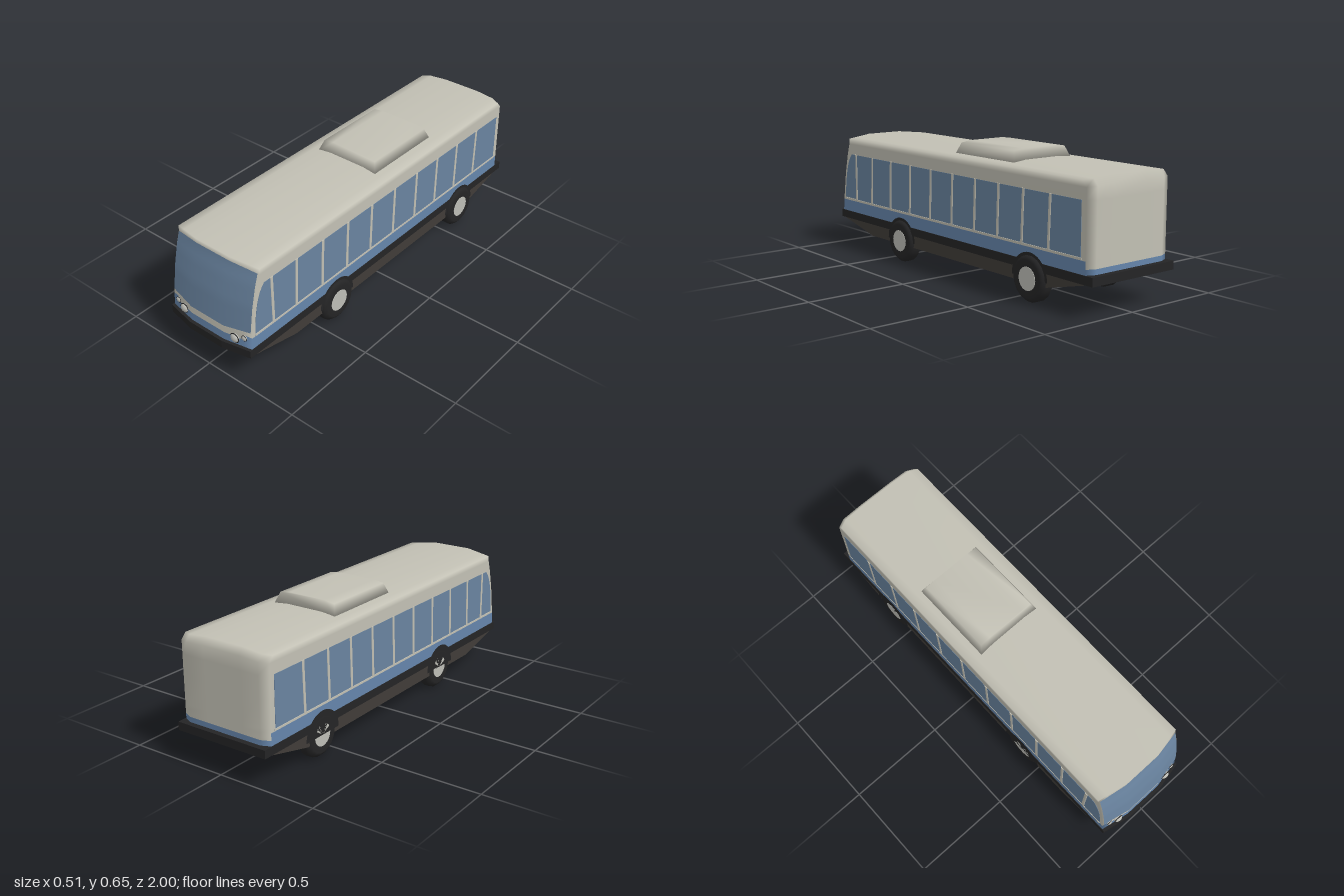
import * as THREE from 'three';
import { mergeVertices } from 'three/addons/utils/BufferGeometryUtils.js';

const mat = (name, color, side = THREE.FrontSide) => {
  const m = new THREE.MeshStandardMaterial({ color, side });
  m.name = name;
  return m;
};

const HALF = 0.244;          // half width of the body
const SWEEP = 0.028;         // how far the front corners sit behind the nose
const NOSE = [[0.18, 0.985], [0.27, 0.975], [0.4, 0.955], [0.505, 0.93], [0.575, 0.907], [0.602, 0.913]];

// Height to z of the nose, by straight pieces
function noseZ(y) {
  for (let i = 1; i < NOSE.length; i++) {
    const [y0, z0] = NOSE[i - 1], [y1, z1] = NOSE[i];
    if (y <= y1 || i === NOSE.length - 1) return z0 + (z1 - z0) * (y - y0) / (y1 - y0);
  }
}
const edge = (x) => Math.max(0, (Math.abs(x) - 0.1) / (HALF - 0.1)); // 0 in the middle, 1 at the side
const frontZ = (x, y) => noseZ(y) - SWEEP * edge(x);

function smooth(geo) {
  geo.deleteAttribute('normal');
  geo.deleteAttribute('uv');
  geo.clearGroups();
  const g = mergeVertices(geo, 1e-4);
  g.computeVertexNormals();
  return g;
}

// Shape drawn in (z, y), extruded across x and centred on x = 0
function sideExtrude(shape, depth) {
  const g = new THREE.ExtrudeGeometry(shape, { depth, bevelEnabled: false, curveSegments: 8 });
  return g.translate(0, 0, -depth / 2).rotateY(-Math.PI / 2);
}
const polygon = (pts) => new THREE.Shape(pts.map((p) => new THREE.Vector2(...p)));

// Body shell: plan outlines stacked by height, closed by a crowned roof
function bodyGeometry() {
  const cols = [-HALF, -0.2, -0.1, 0.1, 0.2, HALF], n = cols.length;
  const levels = [0.18, 0.215, 0.227, 0.25, 0.27, 0.4, 0.505, 0.56, 0.588];
  const pos = [], cream = [], blue = [];
  for (const y of levels) {
    const crown = 0.014 * Math.max(0, (y - 0.505) / 0.083);
    const back = y > 0.57 ? -0.948 : -0.973;
    const height = (x) => y + crown * (1 - edge(x));
    for (const x of cols) pos.push(x, height(x), frontZ(x, height(x)));
    for (const x of [...cols].reverse()) {
      pos.push(x, height(x), back + (Math.abs(x) > 0.22 ? 0.02 : 0));
    }
  }
  const ring = 2 * n;
  for (let l = 0; l < levels.length - 1; l++) {
    for (let i = 0; i < ring; i++) {
      const a = l * ring + i, b = l * ring + (i + 1) % ring;
      const isFront = i >= 1 && i < n - 2, isBack = i >= n && i < ring - 1;
      const top = isBack ? 1 : isFront ? 2 : 3;
      (l < top ? blue : cream).push(a, b, b + ring, a, b + ring, a + ring);
    }
  }
  const t = (levels.length - 1) * ring;
  for (let i = 0; i < n - 1; i++) {
    const a = t + i, b = a + 1, c = t + ring - 2 - i, d = c + 1;
    cream.push(a, b, c, a, c, d);
  }
  const g = new THREE.BufferGeometry();
  g.setAttribute('position', new THREE.Float32BufferAttribute(pos, 3));
  g.setIndex([...cream, ...blue]);
  g.addGroup(0, cream.length, 0);
  g.addGroup(cream.length, blue.length, 1);
  g.computeVertexNormals();
  return g;
}

// Windscreen: a three-facet sheet that follows the nose
function windscreenGeometry() {
  const cols = [-0.238, -0.1, 0.1, 0.238], rows = 12, pos = [], idx = [];
  for (let r = 0; r <= rows; r++) {
    for (const x of cols) {
      const e = edge(x);
      const y = THREE.MathUtils.lerp(0.265 + 0.013 * e, 0.58 - 0.015 * e, r / rows);
      pos.push(x, y, frontZ(x, y) + 0.005);
    }
  }
  for (let r = 0; r < rows; r++) {
    for (let c = 0; c < 3; c++) {
      const a = r * 4 + c;
      idx.push(a, a + 1, a + 5, a, a + 5, a + 4);
    }
  }
  const g = new THREE.BufferGeometry();
  g.setAttribute('position', new THREE.Float32BufferAttribute(pos, 3));
  g.setIndex(idx);
  g.computeVertexNormals();
  return g;
}

export function createModel() {
  const cream = mat('cream paint', 0xc2c0b4);
  const blue = mat('blue paint', 0x6585ab);
  const glass = mat('blue glass', 0x69839f, THREE.DoubleSide);
  const black = mat('black rubber', 0x242425, THREE.DoubleSide);
  const under = mat('dark underbody', 0x403c38);
  const metal = mat('light metal', 0xbdbdb6);

  const model = new THREE.Group();
  model.name = 'bus';
  const coach = new THREE.Group();
  coach.name = 'coachwork';
  coach.position.x = -0.007;
  model.add(coach);
  const add = (parent, name, geo, material, x = 0, y = 0, z = 0) => {
    const m = new THREE.Mesh(geo, material);
    m.name = name;
    m.position.set(x, y, z);
    parent.add(m);
    return m;
  };

  add(coach, 'body', bodyGeometry(), [cream, blue]);
  add(coach, 'windscreen', windscreenGeometry(), glass);

  // Bumper strip all round
  const plan = polygon([[-0.247, 1], [0.247, 1], [0.247, -0.97], [0.1, -1], [-0.1, -1], [-0.247, -0.97]]);
  const strip = new THREE.ExtrudeGeometry(plan, { depth: 0.04, bevelEnabled: false });
  add(coach, 'bumperStrip', strip.rotateX(-Math.PI / 2).scale(1, 1, -1).scale(-1, 1, -1).rotateY(Math.PI).scale(1, 1, 1)
    .rotateY(Math.PI).scale(-1, 1, 1), black, 0, 0.15, 0);

  // Underbody tray, sloping up at both ends
  const tray = polygon([[0.97, 0.155], [0.67, 0.088], [-0.71, 0.088], [-0.98, 0.155]]);
  add(coach, 'underbody', sideExtrude(tray, 0.488), under);

  // Roof pod with flared foot
  const podShape = polygon([[-0.175, 0.59], [0.175, 0.59], [0.155, 0.645], [0.1, 0.653], [-0.1, 0.653], [-0.155, 0.645]]);
  const pod = new THREE.ExtrudeGeometry(podShape, { depth: 0.39, bevelEnabled: false });
  const p = pod.attributes.position;
  for (let i = 0; i < p.count; i++) {
    if (p.getY(i) < 0.6) p.setZ(i, p.getZ(i) > 0.2 ? 0.413 : -0.023);
  }
  add(coach, 'roofPod', smooth(pod), cream, 0, 0, -0.39);

  // Side windows and pillars
  const corner = new THREE.Shape();
  corner.moveTo(0.82, 0.265);
  corner.lineTo(0.93, 0.265);
  corner.quadraticCurveTo(0.92, 0.45, 0.86, 0.505);
  corner.lineTo(0.82, 0.505);
  const long = polygon([[0.82, 0.263], [0.82, 0.505], [-0.925, 0.505], [-0.925, 0.263]]);
  const cornerGeo = sideExtrude(corner, 0.006), longGeo = sideExtrude(long, 0.006);
  const pillarGeo = new THREE.CylinderGeometry(0.009, 0.009, 0.246, 10).scale(0.45, 1, 1);
  const pillars = [0.815, 0.66, 0.485, 0.31, 0.135, -0.04, -0.215, -0.385, -0.555, -0.73];
  for (const s of [-1, 1]) {
    add(coach, 'cornerWindow', cornerGeo, glass, s * 0.2425);
    add(coach, 'sideWindows', longGeo, glass, s * 0.2425);
    pillars.forEach((z, i) => {
      const m = add(coach, 'windowPillar', pillarGeo, cream, s * 0.2445, 0.384, z);
      if (i > 0) m.rotation.x = -0.04;
    });
    add(coach, 'windowSill', new THREE.BoxGeometry(0.006, 0.01, 1.86), cream, s * 0.244, 0.257, 0.0);
  }

  // Headlights: a large and a small lamp on each side, with dark rims
  const ball = new THREE.SphereGeometry(1, 20, 12);
  const rim = new THREE.TorusGeometry(1, 0.1, 8, 24);
  for (const s of [-1, 1]) {
    for (const [x, y, r] of [[0.157, 0.22, 0.023], [0.205, 0.236, 0.014]]) {
      const z = frontZ(x, y);
      add(coach, 'headlight', ball, metal, s * x, y, z).scale.set(r, r, r * 0.7);
      add(coach, 'headlightRim', rim, black, s * x, y, z + 0.003).scale.setScalar(r);
    }
  }

  // Wheels: bevelled tyres with pale hub discs, and dark arches on the body
  const tyreProfile = [[0.05, -0.034], [0.085, -0.038], [0.098, -0.03], [0.11, -0.016], [0.11, 0.016],
    [0.098, 0.03], [0.085, 0.038], [0.05, 0.034]].map((q) => new THREE.Vector2(...q));
  const tyreGeo = new THREE.LatheGeometry(tyreProfile, 18).rotateZ(-Math.PI / 2);
  const hubGeo = new THREE.CylinderGeometry(0.055, 0.055, 0.07, 18).rotateZ(Math.PI / 2);
  const archGeo = new THREE.CircleGeometry(0.118, 20, 0, Math.PI).rotateY(Math.PI / 2);
  for (const s of [-1, 1]) {
    for (const z of [0.39, -0.605]) {
      const wheel = new THREE.Group();
      wheel.name = 'wheel';
      wheel.position.set(s * 0.218, 0.11, z);
      add(wheel, 'tyre', tyreGeo, black);
      add(wheel, 'hub', hubGeo, metal, s * 0.0015);
      model.add(wheel);
      add(coach, 'wheelArch', archGeo, black, s * 0.2475, 0.11, z);
    }
  }
  return model;
}
